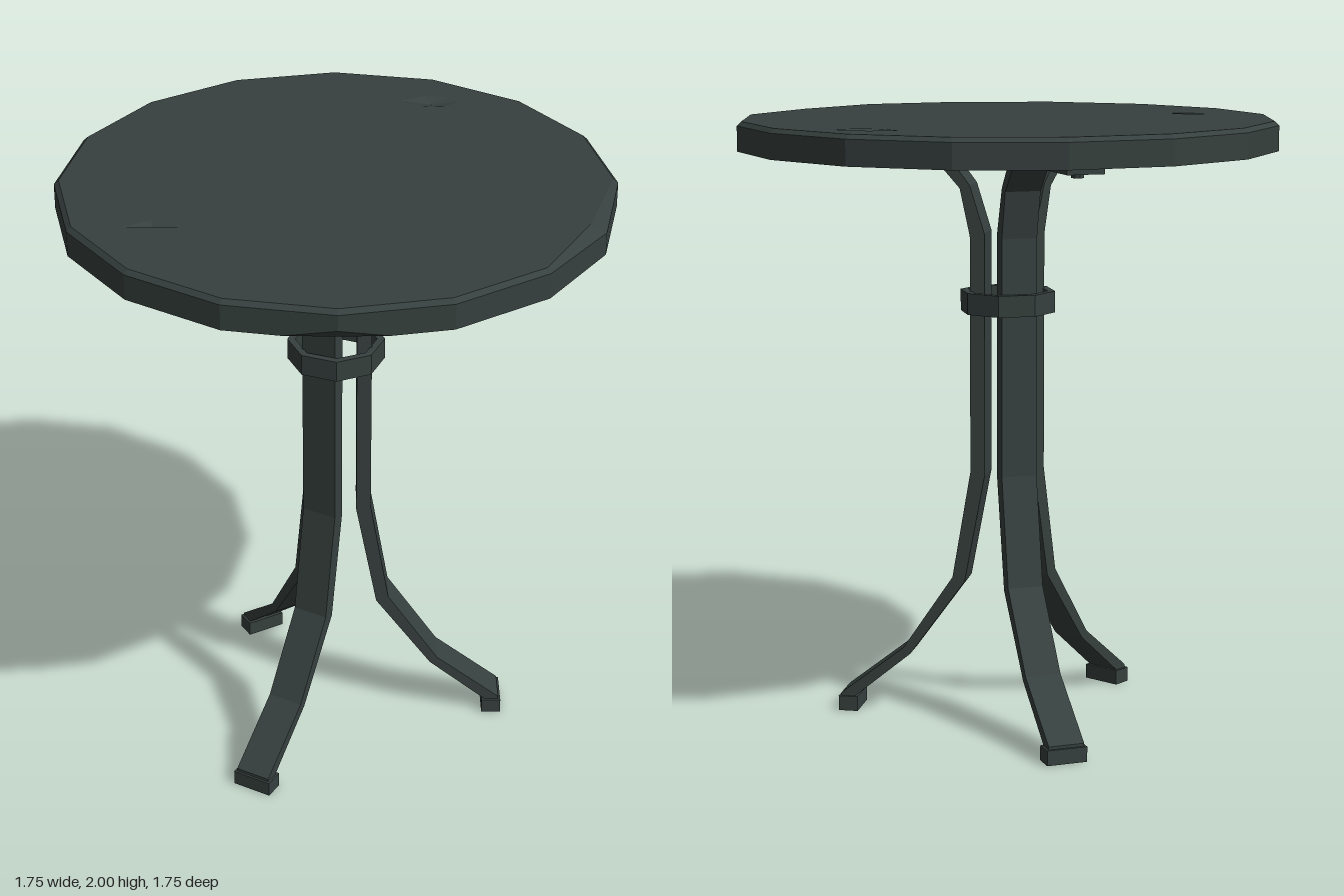
import * as THREE from 'three';

const vec = (pts) => pts.map(([x, y]) => new THREE.Vector2(x, y));

// Triangle list -> faceted geometry
function facets(tris) {
  const g = new THREE.BufferGeometry().setFromPoints(tris.map((p) => new THREE.Vector3(...p)));
  g.computeVertexNormals();
  return g;
}

export function createModel() {
  const model = new THREE.Group();
  const iron = new THREE.MeshStandardMaterial({ color: 0x36403e, flatShading: true });
  iron.name = 'dark green iron';
  const add = (parent, name, geometry) => {
    const mesh = new THREE.Mesh(geometry, iron);
    mesh.name = name;
    parent.add(mesh);
    return mesh;
  };

  // Tabletop rim: sixteen corners, plus two points either side of the front chip
  const rim = [];
  for (let i = 0; i < 16; i++) {
    const a = (i / 16) * Math.PI * 2;
    const c = Math.cos(a), s = Math.sin(a);
    const topR = i === 1 ? 0.825 : 0.86; // worn upper corner
    const chip = i === 4;
    const corner = {
      top: [c * topR, 2, s * topR],
      edge: [c * 0.875, i === 1 ? 1.978 : 1.986, s * 0.875],
      low: [c * 0.875, chip ? 1.936 : 1.905, s * 0.875],
      base: [c * (chip ? 0.848 : 0.875), 1.905, s * (chip ? 0.848 : 0.875)],
    };
    const side = (x) => {
      const z = 0.875 - Math.abs(x) * 0.199;
      return { top: [x, 2, z - 0.015], edge: [x, 1.986, z], low: [x, 1.905, z], base: [x, 1.905, z] };
    };
    if (chip) rim.push(side(0.15), corner, side(-0.16));
    else rim.push(corner);
  }
  const tris = [];
  rim.forEach((a, i) => {
    const b = rim[(i + 1) % rim.length];
    for (const [lo, hi] of [['edge', 'top'], ['low', 'edge'], ['base', 'low']]) {
      tris.push(b[lo], a[lo], a[hi], b[lo], a[hi], b[hi]);
    }
    tris.push([0, 1.905, 0], a.base, b.base);
  });
  add(model, 'tabletopRim', facets(tris));

  // Two shallow dents in the top: outline and deepest point in x, z
  const dents = [
    { outline: [[0.22, -0.615], [0.3, -0.655], [0.38, -0.648], [0.42, -0.615], [0.36, -0.565], [0.29, -0.57]], deep: [0.32, -0.615] },
    { outline: [[-0.645, 0.335], [-0.555, 0.285], [-0.46, 0.335]], deep: [-0.555, 0.325] },
  ];
  const surface = new THREE.Shape(vec(rim.map((p) => [p.top[0], -p.top[2]])));
  for (const { outline, deep } of dents) {
    surface.holes.push(new THREE.Path(vec(outline.map(([x, z]) => [x, -z]))));
    const pit = outline.flatMap(([x, z], i) => {
      const [nx, nz] = outline[(i + 1) % outline.length];
      return [[deep[0], 1.985, deep[1]], [nx, 2, nz], [x, 2, z]];
    });
    add(model, 'dent', facets(pit));
  }
  const topGeometry = new THREE.ShapeGeometry(surface);
  topGeometry.rotateX(-Math.PI / 2);
  topGeometry.translate(0, 2, 0);
  add(model, 'tabletopSurface', topGeometry);

  // Bent flat-bar leg: outer side going up, then inner side going down
  const legShape = new THREE.Shape(vec([
    [0.562, 0.04], [0.562, 0.06], [0.346, 0.228], [0.176, 0.48], [0.114, 0.84], [0.114, 1.62],
    [0.147, 1.775], [0.235, 1.875], [0.705, 1.875], [0.705, 1.906],
    [0.205, 1.906], [0.114, 1.785], [0.066, 1.63], [0.066, 0.83], [0.135, 0.465],
    [0.322, 0.208], [0.515, 0.05], [0.515, 0.04],
  ]));
  const legGeometry = new THREE.ExtrudeGeometry(legShape, { depth: 0.12, bevelEnabled: false });
  legGeometry.translate(0, 0, -0.06);
  const footGeometry = new THREE.BoxGeometry(0.065, 0.05, 0.135);
  const boltGeometry = new THREE.CylinderGeometry(0.021, 0.021, 0.016, 8);

  for (let i = 0; i < 3; i++) {
    const leg = new THREE.Group();
    leg.name = 'leg';
    leg.rotation.y = (i * Math.PI * 2) / 3;
    add(leg, 'legBar', legGeometry);
    add(leg, 'foot', footGeometry).position.set(0.537, 0.025, 0);
    for (const x of [0.335, 0.635]) add(leg, 'bolt', boltGeometry).position.set(x, 1.868, 0);
    model.add(leg);
  }

  // Eight-sided collar holding the legs together
  const collar = new THREE.LatheGeometry(
    vec([[0.132, 1.37], [0.157, 1.37], [0.157, 1.44], [0.132, 1.44], [0.132, 1.37]]), 8);
  add(model, 'collar', collar);

  return model;
}
